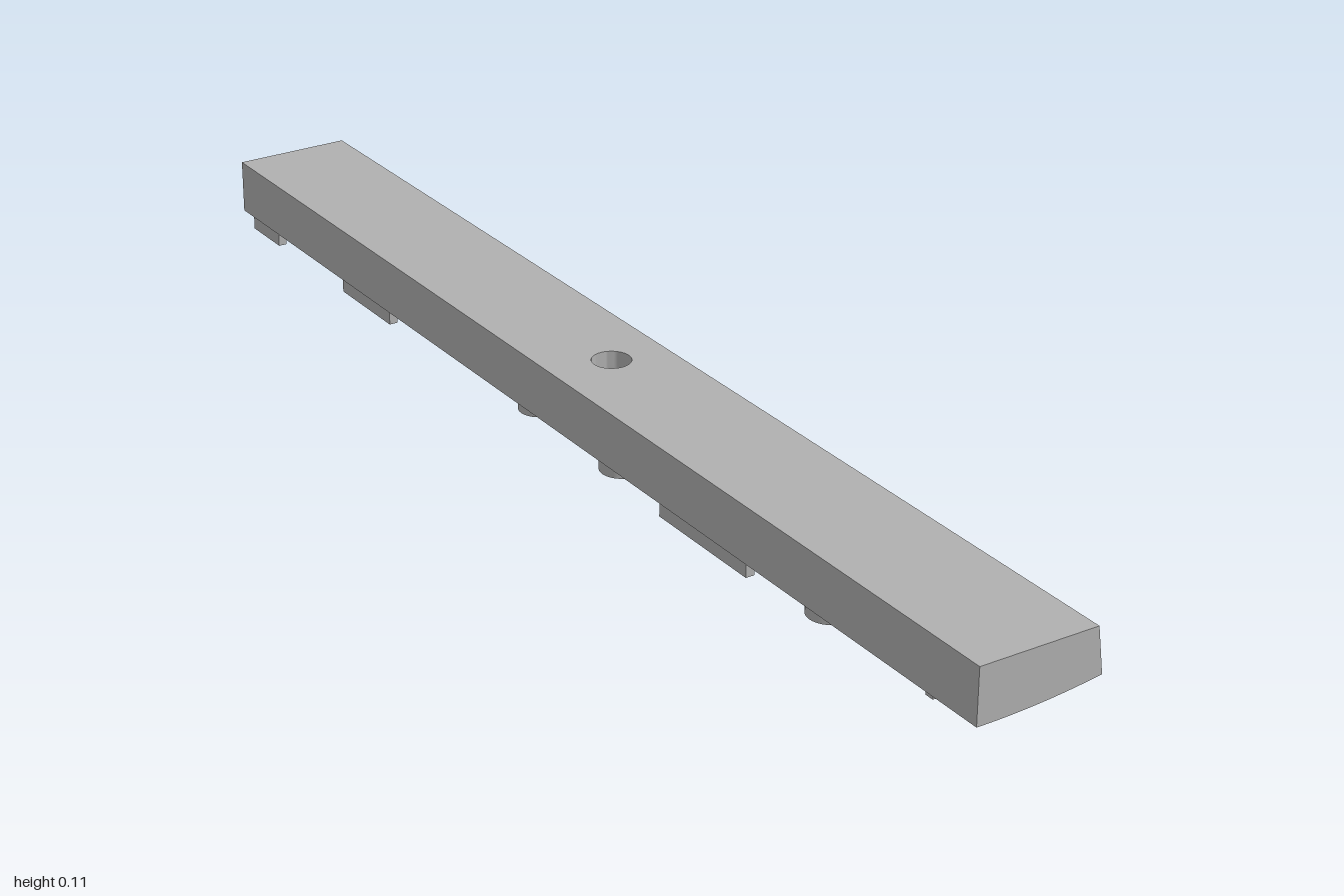
import * as THREE from 'three';
import { toCreasedNormals } from 'three/addons/utils/BufferGeometryUtils.js';

const TOP = 0.115, HOLE = 0.03, MID = 0.1, RAISE = 0.0278;
// Height of the gently curved underside at x
const under = (x) => 0.031 + 0.07 * x + 0.4 * x * x;

export function createModel() {
  const group = new THREE.Group();
  const grey = new THREE.MeshStandardMaterial({ color: 0xb0b0b0 });
  grey.name = 'plain grey';

  const add = (name, geometry) => {
    const mesh = new THREE.Mesh(toCreasedNormals(geometry, 0.5), grey);
    mesh.name = name;
    group.add(mesh);
    return mesh;
  };

  // Two long ends of the bar, extruded from its cross-section
  const section = new THREE.Shape();
  section.moveTo(-0.1, TOP);
  for (let i = 0; i <= 16; i++) {
    const x = -0.1 + i * 0.0125;
    section.lineTo(x, under(x));
  }
  section.lineTo(0.09, TOP);
  for (const z of [-1, MID]) {
    const end = new THREE.ExtrudeGeometry(section, { depth: 1 - MID, bevelEnabled: false });
    add(z < 0 ? 'backBar' : 'frontBar', end.translate(0, 0, z));
  }

  // Middle block with the vertical through hole, swept around the hole axis
  const N = 64, R = 5, positions = [], index = [];
  const rows = [];
  for (let j = 0; j <= R; j++) rows.push([j / R, true]);
  for (let j = R; j >= 0; j--) rows.push([j / R, false]);
  rows.push([0, true]);
  const M = rows.length;
  for (let i = 0; i <= N; i++) {
    const a = (i / N) * Math.PI * 2, c = Math.cos(a), s = Math.sin(a);
    const edge = MID / Math.max(Math.abs(c), Math.abs(s));
    for (const [t, top] of rows) {
      const r = HOLE + (edge - HOLE) * t;
      const x = top ? Math.min(c * r, 0.09) : c * r;
      positions.push(x, top ? TOP : under(x), s * r);
    }
  }
  for (let i = 0; i < N; i++) {
    for (let j = 0; j < M - 1; j++) {
      const a = i * M + j, b = a + M;
      index.push(a, b, b + 1, a, b + 1, a + 1);
    }
  }
  const middle = new THREE.BufferGeometry();
  middle.setAttribute('position', new THREE.Float32BufferAttribute(positions, 3));
  middle.setIndex(index);
  add('drilledMiddle', middle);

  // Makes a raised piece follow the curved underside
  const follow = (geometry) => {
    const p = geometry.attributes.position;
    for (let i = 0; i < p.count; i++) {
      const base = under(p.getX(i));
      p.setY(i, p.getY(i) > 0 ? base + 0.004 : base - RAISE);
    }
    return geometry;
  };

  // Raised round bosses on the underside
  const boss = (x, z, r) => {
    const shape = new THREE.Shape().absarc(0, 0, r, 0, Math.PI * 2, false);
    shape.holes.push(new THREE.Path().absarc(0, 0, r - 0.013, 0, Math.PI * 2, true));
    const ring = new THREE.ExtrudeGeometry(shape, { depth: 1, bevelEnabled: false, curveSegments: 20 });
    ring.translate(0, 0, -0.5).rotateX(-Math.PI / 2).translate(x, 0, z);
    add('ringBoss', follow(ring));
  };
  const bosses = [
    [-0.025, -0.88, 0.039], [-0.025, -0.625, 0.039], [-0.03, -0.377, 0.037], [-0.05, -0.122, 0.033],
    [-0.055, 0.115, 0.034], [-0.03, 0.35, 0.039], [-0.052, 0.625, 0.034],
  ];
  for (const b of bosses) boss(...b);

  // Raised straight ribs: x range, z range
  const rib = (x0, x1, z0, z1) => {
    const box = new THREE.BoxGeometry(x1 - x0, 1, z1 - z0, 6, 1, 1);
    add('rib', follow(box.translate((x0 + x1) / 2, 0, (z0 + z1) / 2)));
  };
  const ribs = [
    [-0.092, -0.078, -0.98, -0.89], [-0.092, -0.078, -0.665, -0.51], [-0.092, -0.078, 0.27, 0.485],
    [-0.065, 0.035, -0.165, -0.151], [0.022, 0.036, 0.025, 0.18], [-0.065, 0.02, 0.59, 0.602],
    [0.008, 0.02, 0.59, 0.66], [-0.075, -0.055, 0.865, 0.88], [-0.068, -0.03, -0.385, -0.372],
    [-0.062, -0.025, -0.632, -0.62], [-0.062, -0.025, -0.887, -0.875], [-0.068, -0.03, 0.344, 0.356],
  ];
  for (const r of ribs) rib(...r);

  return group;
}
